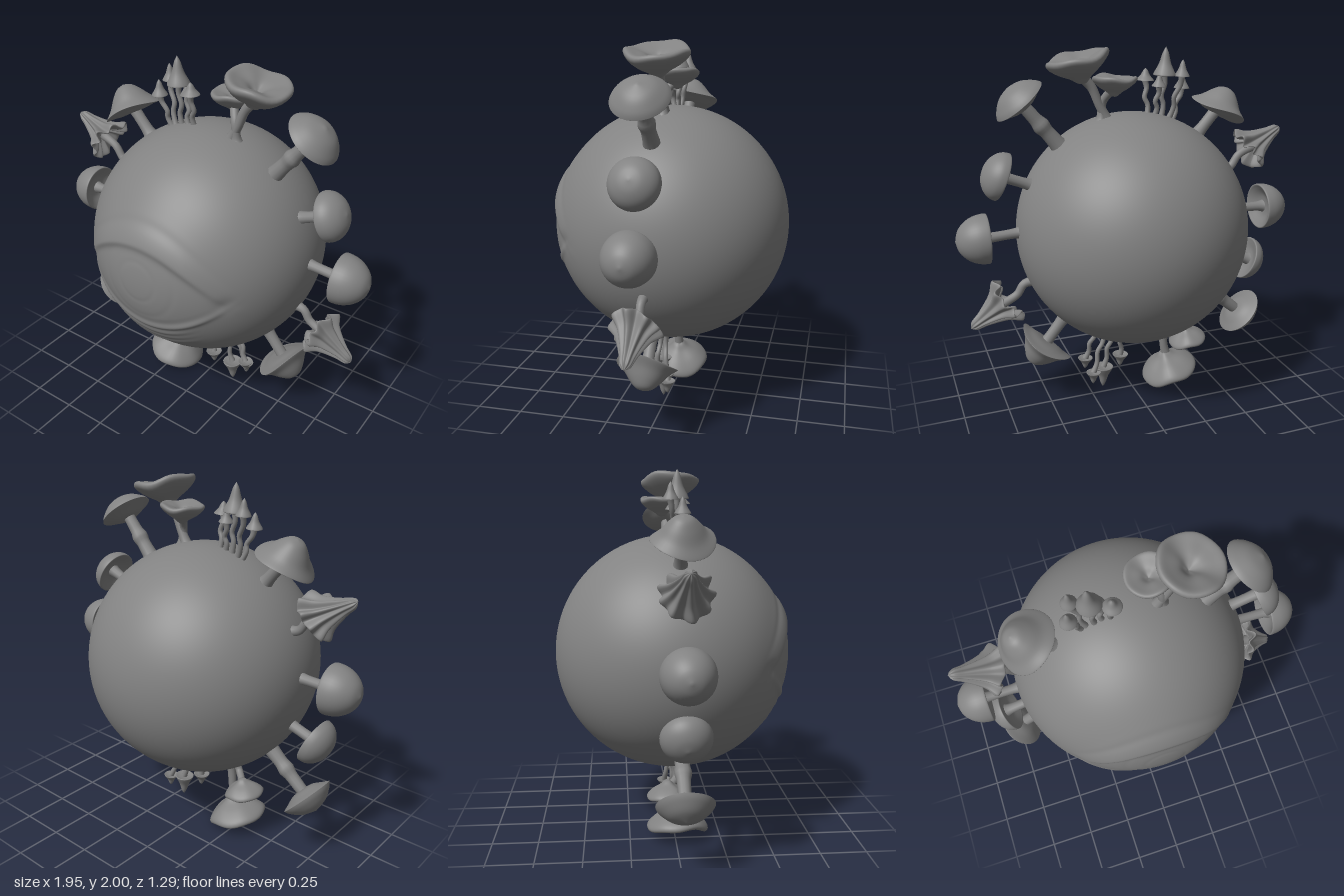
import * as THREE from 'three';
import { mergeVertices } from 'three/addons/utils/BufferGeometryUtils.js';

const mat = new THREE.MeshStandardMaterial({ color: 0x828282 });
const V3 = (x, y, z = 0) => new THREE.Vector3(x, y, z);
const CENTER_Y = 1.015, R = 0.644;

// Weld seams and smooth the normals
function smooth(geo) {
  geo.deleteAttribute('uv');
  geo.deleteAttribute('normal');
  const g = mergeVertices(geo, 1e-5);
  g.computeVertexNormals();
  return g;
}

function warp(geo, fn) {
  const p = geo.attributes.position, v = V3(0, 0);
  for (let i = 0; i < p.count; i++) {
    fn(v.fromBufferAttribute(p, i));
    p.setXYZ(i, v.x, v.y, v.z);
  }
  return geo;
}

function add(parent, geo, name) {
  const m = new THREE.Mesh(geo, mat);
  m.name = name;
  parent.add(m);
  return m;
}

// Stem: tube through points, its radius varied along its length
function stem(parent, pts, radius, shape = t => 1 + 0.7 * Math.exp(-t * 9) + 0.4 * Math.exp((t - 1) * 8)) {
  const curve = new THREE.CatmullRomCurve3(pts), n = 24, sides = 12;
  const geo = new THREE.TubeGeometry(curve, n, radius, sides);
  const p = geo.attributes.position, v = V3(0, 0);
  for (let i = 0; i < p.count; i++) {
    const t = Math.floor(i / (sides + 1)) / n, c = curve.getPointAt(t);
    v.fromBufferAttribute(p, i).sub(c).multiplyScalar(shape(t)).add(c);
    p.setXYZ(i, v.x, v.y, v.z);
  }
  add(parent, smooth(geo), 'stem');
}

// Cap: lathed profile (underside centre -> rim -> apex), optionally warped by angle
function cap(parent, profile, pos, normal, fn, segs = 40) {
  const curve = new THREE.SplineCurve(profile.map(([x, y]) => new THREE.Vector2(x, y)));
  const pts = curve.getPoints(profile.length * 4);
  pts.forEach(p => { p.x = Math.max(p.x, 0); });
  const geo = new THREE.LatheGeometry(pts, segs);
  if (fn) warp(geo, v => fn(v, Math.atan2(v.x, v.z), Math.hypot(v.x, v.z)));
  const m = add(parent, smooth(geo), 'cap');
  m.position.copy(pos);
  m.quaternion.setFromUnitVectors(V3(0, 1), normal.clone().normalize());
}

const DOME = [[0, 0.045], [0.06, 0.04], [0.108, 0.012], [0.128, 0], [0.134, 0.012], [0.126, 0.065], [0.1, 0.115], [0.057, 0.153], [0, 0.17]];
const SHALLOW = DOME.map(([x, y]) => [x * 0.96, y * 0.66]);
const LENS = [[0, -0.045], [0.06, -0.04], [0.11, -0.018], [0.143, -0.003], [0.146, 0.003], [0.125, 0.03], [0.075, 0.068], [0, 0.09]];
const HAT = [[0, -0.025], [0.07, -0.022], [0.12, -0.01], [0.155, -0.003], [0.158, 0.003], [0.118, 0.038], [0.08, 0.086], [0.042, 0.122], [0, 0.134]];
const PLEATED = [[0, 0.07], [0.05, 0.04], [0.1, -0.005], [0.122, -0.012], [0.12, 0.003], [0.085, 0.045], [0.06, 0.1], [0.04, 0.16], [0.026, 0.215], [0, 0.24]];
const FUNNEL = [[0, -0.13], [0.028, -0.122], [0.06, -0.094], [0.115, -0.06], [0.157, -0.022], [0.168, 0.005], [0.152, 0.02], [0.11, 0.008], [0.06, -0.01], [0.025, -0.035], [0, -0.05]];

const pleats = (v, a, r) => {
  const wave = Math.cos(9 * a + 0.7 * Math.sin(2 * a)) * (0.75 + 0.25 * Math.sin(3 * a));
  const k = 1 + 0.14 * wave * Math.min(1, r / 0.05);
  v.x *= k;
  v.z *= k;
  v.y += r * (0.14 * wave + 0.15 * Math.sin(2 * a + 0.5));
};
const ruffle = (v, a, r) => { v.y += r * (0.045 * Math.sin(3 * a + 1) + 0.03 * Math.sin(5 * a)); };
const brim = (v, a, r) => { v.y += r * r * 0.7 * Math.sin(2 * a + 0.6); };
const ringed = t => 1.1 - 0.25 * t + 0.25 * Math.exp(-(((t - 0.45) / 0.07) ** 2)) + 0.3 * Math.exp(-t * 9);

// Sphere with eyelid relief; the rows crowd toward the front pole
function eyeBody() {
  const g = warp(new THREE.SphereGeometry(1, 200, 170), v => {
    const t = Math.acos(THREE.MathUtils.clamp(v.y, -1, 1)) / Math.PI;
    const a = Math.atan2(v.z, v.x), th = Math.PI * Math.pow(t, 1.5);
    const s = t > 0.9999 ? 0 : Math.sin(th);
    v.set(R * s * Math.cos(a), -R * s * Math.sin(a), R * Math.cos(th));
    if (v.z > 0) v.multiplyScalar(1 + relief(v.x, v.y) / R);
  });
  return smooth(g);
}

function relief(x, y) {
  const bump = (d, w) => Math.exp(-((d / w) ** 2));
  const q = 1 - (x / 0.44) ** 2, open = Math.max(q, -0.3);
  const fade = THREE.MathUtils.smoothstep(0.52 - Math.abs(x), 0, 0.3);
  const up = y - (-0.03 + 0.255 * open), low = (-0.03 - 0.195 * open) - y;
  let d = 0;
  // upper lid with its overhanging edge and crease
  d += fade * 0.021 * bump(up, up > 0 ? 0.11 : 0.025);
  d -= fade * 0.004 * bump(up - 0.1, 0.025);
  // lower lid and the folds beneath it
  d += fade * 0.011 * bump(low - 0.022, 0.02);
  for (const [o, h] of [[0.075, 0.008], [0.12, 0.006], [0.165, 0.006]])
    d += h * THREE.MathUtils.smoothstep(0.34 - Math.abs(x), 0, 0.25) * bump(low - o, 0.02);
  // eyeball bulge, iris ring and pupil
  if (up < 0 && low < 0) {
    const r = Math.hypot(x, y - 0.03), edge = Math.min(1, Math.min(-up, -low) / 0.04);
    d += edge * (0.003 * Math.max(q, 0) - 0.0012 * bump(r - 0.21, 0.018) - 0.0012 * bump(r - 0.11, 0.015));
  }
  // sunken corners
  d -= 0.008 * bump(Math.abs(x) - 0.43, 0.04) * bump(y + 0.03, 0.04);
  return d;
}

export function createModel() {
  const root = new THREE.Group();
  root.name = 'mushroomEye';
  add(root, eyeBody(), 'eyeball').position.y = CENTER_Y;

  // All mushrooms stand in a ring just ahead of the centre
  const ring = new THREE.Group();
  ring.name = 'mushroomRing';
  ring.position.z = 0.012;
  root.add(ring);
  const group = name => {
    const g = new THREE.Group();
    g.name = name;
    ring.add(g);
    return g;
  };

  // Single mushrooms: [name, profile, base, cap centre, cap normal, stem radius, warp, stem shape]
  const singles = [
    ['leftDome', DOME, V3(0.61, 1.055), V3(0.803, 1.04), V3(1, 0), 0.026],
    ['rightDome', DOME, V3(-0.61, 1.055), V3(-0.806, 1.05), V3(-1, 0), 0.026],
    ['leftUpperDome', SHALLOW, V3(0.54, 1.3), V3(0.708, 1.363), V3(0.92, 0.39), 0.028],
    ['rightLowerDome', SHALLOW, V3(-0.56, 0.785), V3(-0.727, 0.735), V3(-0.92, -0.39), 0.028],
    ['leftLens', LENS, V3(0.39, 1.49), V3(0.603, 1.748), V3(0.63, 0.77), 0.037, null, ringed],
    ['rightLens', LENS, V3(-0.44, 0.61), V3(-0.71, 0.383), V3(-0.73, -0.68), 0.037, null, ringed],
    ['rightHat', HAT, V3(-0.38, 1.5), V3(-0.513, 1.643), V3(-0.47, 0.88), 0.031, brim],
    ['leftHat', HAT, V3(0.39, 0.54), V3(0.522, 0.375), V3(0.63, -0.77), 0.031, brim],
  ];
  for (const [name, profile, base, pos, normal, r, fn, shape] of singles) {
    const g = group(name + 'Mushroom');
    stem(g, [base, pos.clone().addScaledVector(normal, 0.03)], r, shape);
    cap(g, profile, pos, normal, fn);
  }

  // Pleated mushrooms on wavy stems
  for (const [name, pts, pos, normal] of [
    ['right', [V3(-0.55, 1.29), V3(-0.61, 1.31), V3(-0.66, 1.375), V3(-0.75, 1.42)], V3(-0.71, 1.405), V3(-0.87, 0.49)],
    ['left', [V3(0.56, 0.77), V3(0.625, 0.755), V3(0.665, 0.7), V3(0.76, 0.65)], V3(0.725, 0.667), V3(0.84, -0.54)],
  ]) {
    const g = group(name + 'PleatedMushroom');
    stem(g, pts, 0.022);
    cap(g, PLEATED, pos, normal, pleats, 100);
  }

  // Funnel mushrooms: a large and a small one, above and below
  for (const [name, pts, pos, normal, s] of [
    ['topLarge', [V3(0.13, 1.61), V3(0.18, 1.71), V3(0.22, 1.8), V3(0.272, 1.86)], V3(0.292, 1.947), V3(0.22, 0.97), 1],
    ['topSmall', [V3(0.17, 1.62), V3(0.16, 1.72), V3(0.135, 1.77, -0.03), V3(0.115, 1.8, -0.06)], V3(0.112, 1.845, -0.06), V3(-0.05, 1), 0.7],
    ['bottomLarge', [V3(-0.19, 0.42), V3(-0.2, 0.32), V3(-0.208, 0.24), V3(-0.225, 0.16)], V3(-0.245, 0.073), V3(-0.3, -0.95), 1],
    ['bottomSmall', [V3(-0.22, 0.43), V3(-0.25, 0.37), V3(-0.29, 0.34, -0.03), V3(-0.32, 0.32, -0.06)], V3(-0.335, 0.285, -0.06), V3(-0.2, -0.98), 0.66],
  ]) {
    const g = group(name + 'FunnelMushroom');
    stem(g, pts, 0.024 * (0.6 + 0.4 * s));
    cap(g, FUNNEL.map(([x, y]) => [x * s, y * s]), pos, normal, ruffle);
  }

  // Clusters of slender mushrooms: [base x, cap x, cap y, cap z, radius, height]
  const clusters = {
    top: [[-0.21, -0.275, 1.84, -0.04, 0.04, 0.09], [-0.17, -0.19, 1.845, 0, 0.06, 0.15],
      [-0.23, -0.3, 1.77, 0.02, 0.042, 0.085], [-0.09, -0.09, 1.82, 0.03, 0.047, 0.065], [-0.13, -0.15, 1.79, -0.02, 0.038, 0.07]],
    bottom: [[0.06, 0.06, 0.21, 0.03, 0.046, 0.08], [0.11, 0.175, 0.165, 0, 0.055, 0.135],
      [0.16, 0.25, 0.16, -0.04, 0.042, 0.075], [0.21, 0.28, 0.23, 0.02, 0.042, 0.07]],
  };
  for (const [name, list] of Object.entries(clusters)) {
    const g = group(name + 'SlenderCluster'), up = name === 'top' ? 1 : -1;
    for (const [bx, cx, cy, cz, r, h] of list) {
      const by = CENTER_Y + up * (Math.sqrt(R * R - bx * bx) - 0.03);
      const along = (t, bend) => V3(bx + (cx - bx) * t + bend, by + (cy - by) * t, cz * t);
      stem(g, [along(0, 0), along(0.35, -0.008), along(0.55, 0.008), along(0.8, -0.006), along(1, 0)], 0.013);
      cap(g, [[0, 0.012], [r * 0.6, 0.006], [r, 0], [r * 0.95, h * 0.1], [r * 0.55, h * 0.42], [r * 0.27, h * 0.8], [0, h]],
        V3(cx, cy, cz), V3(-0.05 * up, up), null, 18);
    }
  }
  return root;
}
